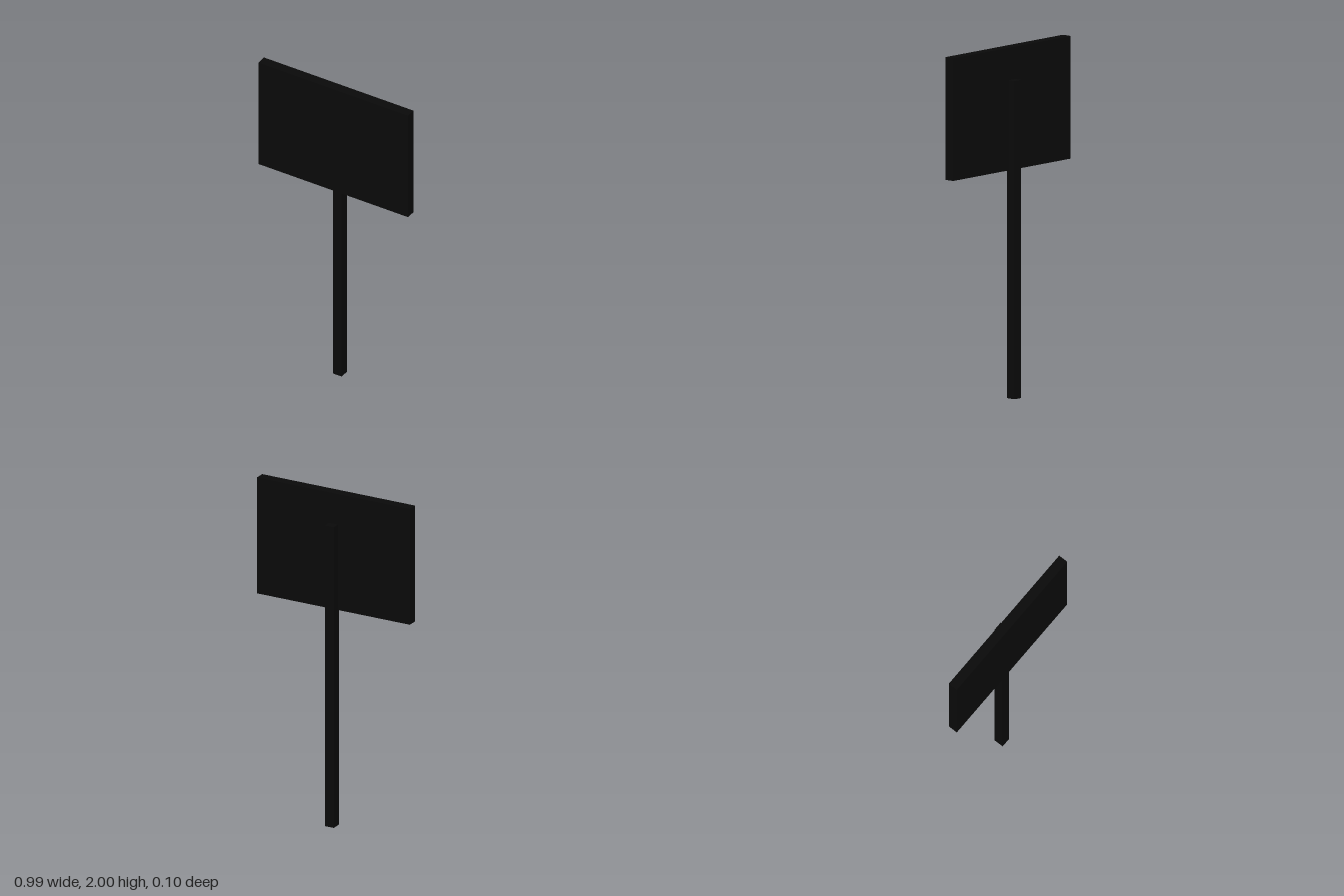
import * as THREE from 'three';

export function createModel() {
  const model = new THREE.Group();
  model.name = 'signOnPost';
  const black = new THREE.MeshStandardMaterial({ color: 0x0a0a0a });

  // Box given by its lower and upper corners
  const addBox = (name, [x0, y0, z0], [x1, y1, z1]) => {
    const mesh = new THREE.Mesh(new THREE.BoxGeometry(x1 - x0, y1 - y0, z1 - z0), black);
    mesh.position.set((x0 + x1) / 2, (y0 + y1) / 2, (z0 + z1) / 2);
    mesh.name = name;
    model.add(mesh);
  };

  // Sign board at the front
  addBox('board', [-0.493, 1.3, -0.006], [0.493, 2, 0.052]);
  // Square post, let slightly into the back of the board
  addBox('post', [-0.028, 0, -0.052], [0.028, 1.815, 0.007]);

  return model;
}
